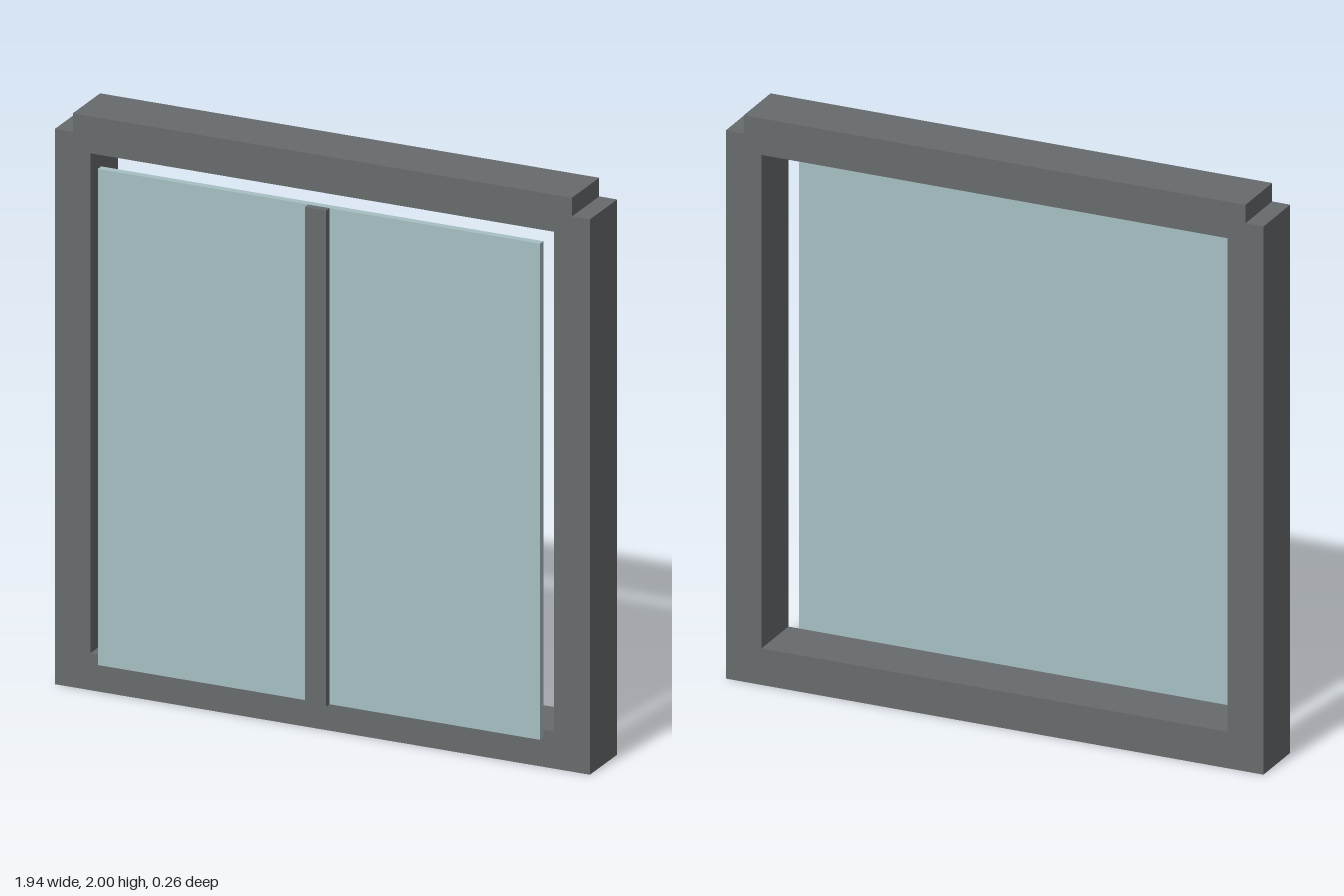
import * as THREE from 'three';

const frameMaterial = new THREE.MeshStandardMaterial({ color: 0x676b6d });
const glassMaterial = new THREE.MeshStandardMaterial({ color: 0xa6bfc3 });

// Box given by its size, bottom height and back plane, centred on x
function slab(name, width, height, depth, bottom, back, material) {
  const mesh = new THREE.Mesh(new THREE.BoxGeometry(width, height, depth), material);
  mesh.position.set(0, bottom + height / 2, back + depth / 2);
  mesh.name = name;
  return mesh;
}

export function createModel() {
  const group = new THREE.Group();
  group.name = 'window';

  // Frame: outline with stepped top corners and one rectangular opening
  const w = 0.968, step = 0.903, inner = 0.839, back = -0.129, depth = 0.206;
  const outline = new THREE.Shape([
    [-w, 0], [w, 0], [w, 1.935], [step, 1.935],
    [step, 2], [-step, 2], [-step, 1.935], [-w, 1.935],
  ].map(([x, y]) => new THREE.Vector2(x, y)));
  outline.holes.push(new THREE.Path([
    [-inner, 0.129], [-inner, 1.871], [inner, 1.871], [inner, 0.129],
  ].map(([x, y]) => new THREE.Vector2(x, y))));
  const frame = new THREE.Mesh(
    new THREE.ExtrudeGeometry(outline, { depth, bevelEnabled: false }), frameMaterial);
  frame.position.z = back;
  frame.name = 'frame';
  group.add(frame);

  // Glass pane against the front of the frame, with a central bar on it
  const front = back + depth;
  group.add(slab('glassPane', 1.6, 1.729, 0.026, 0.103, front, glassMaterial));
  group.add(slab('centreBar', 0.077, 1.729, 0.026, 0.103, front + 0.026, frameMaterial));

  return group;
}
